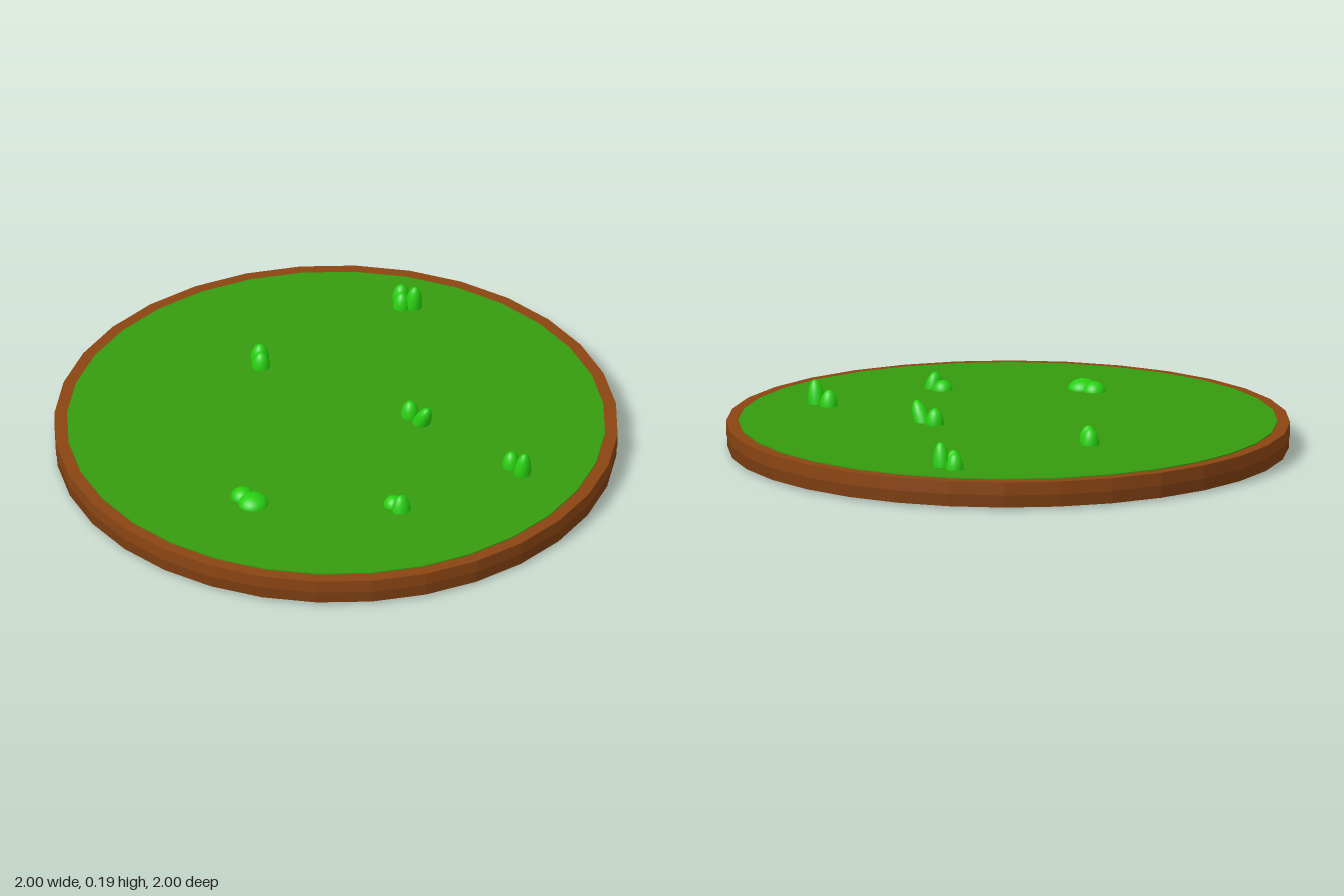
import * as THREE from 'three';

export function createModel() {
  const model = new THREE.Group();
  const soil = new THREE.MeshStandardMaterial({ color: 0x8b4513, flatShading: true });
  const darkSoil = new THREE.MeshStandardMaterial({ color: 0x7d3e11, flatShading: true });
  const grass = new THREE.MeshStandardMaterial({ color: 0x369b0e });
  const leaf = new THREE.MeshStandardMaterial({ color: 0x28d010 });

  // Stacked 32-sided discs: bottom, rim and lawn
  const disc = (name, rTop, rBottom, y0, y1, material) => {
    const mesh = new THREE.Mesh(new THREE.CylinderGeometry(rTop, rBottom, y1 - y0, 32), material);
    mesh.position.y = (y0 + y1) / 2;
    mesh.name = name;
    model.add(mesh);
  };
  disc('lowerSoil', 0.997, 0.995, 0.008, 0.053, darkSoil);
  disc('upperSoil', 1, 1, 0.053, 0.1, soil);
  disc('lawn', 0.955, 0.955, 0.09, 0.104, grass);

  // Each tuft is a cluster of ellipsoids: [x, y, z, rx, ry, rz, tilt about x]
  const tufts = [
    [[-0.555, 0.1, 0.19, 0.055, 0.04, 0.053, 0], [-0.555, 0.098, 0.132, 0.042, 0.04, 0.042, 0]],
    [[-0.185, 0.081, 0.567, 0.038, 0.081, 0.032, -0.08], [-0.185, 0.098, 0.522, 0.036, 0.04, 0.036, 0]],
    [[0.29, 0.1, 0.612, 0.032, 0.062, 0.032, 0], [0.29, 0.1, 0.672, 0.032, 0.09, 0.03, 0.15]],
    [[0.23, 0.1, 0.135, 0.033, 0.062, 0.033, 0], [0.23, 0.1, 0.195, 0.032, 0.085, 0.03, 0.45]],
    [[0.065, 0.1, -0.485, 0.033, 0.062, 0.033, 0], [0.035, 0.1, -0.445, 0.033, 0.062, 0.033, 0]],
    [[0.69, 0.1, -0.375, 0.031, 0.09, 0.031, 0.12], [0.69, 0.1, -0.44, 0.032, 0.062, 0.032, 0],
      [0.658, 0.1, -0.4, 0.032, 0.062, 0.032, 0]],
  ];
  const ball = new THREE.SphereGeometry(1, 24, 16);
  for (const blades of tufts) {
    const tuft = new THREE.Group();
    tuft.name = 'grassTuft';
    for (const [x, y, z, rx, ry, rz, tilt] of blades) {
      const blade = new THREE.Mesh(ball, leaf);
      blade.name = 'tuftBlade';
      blade.position.set(x, y, z);
      blade.scale.set(rx, ry, rz);
      blade.rotation.x = tilt;
      tuft.add(blade);
    }
    model.add(tuft);
  }
  return model;
}
